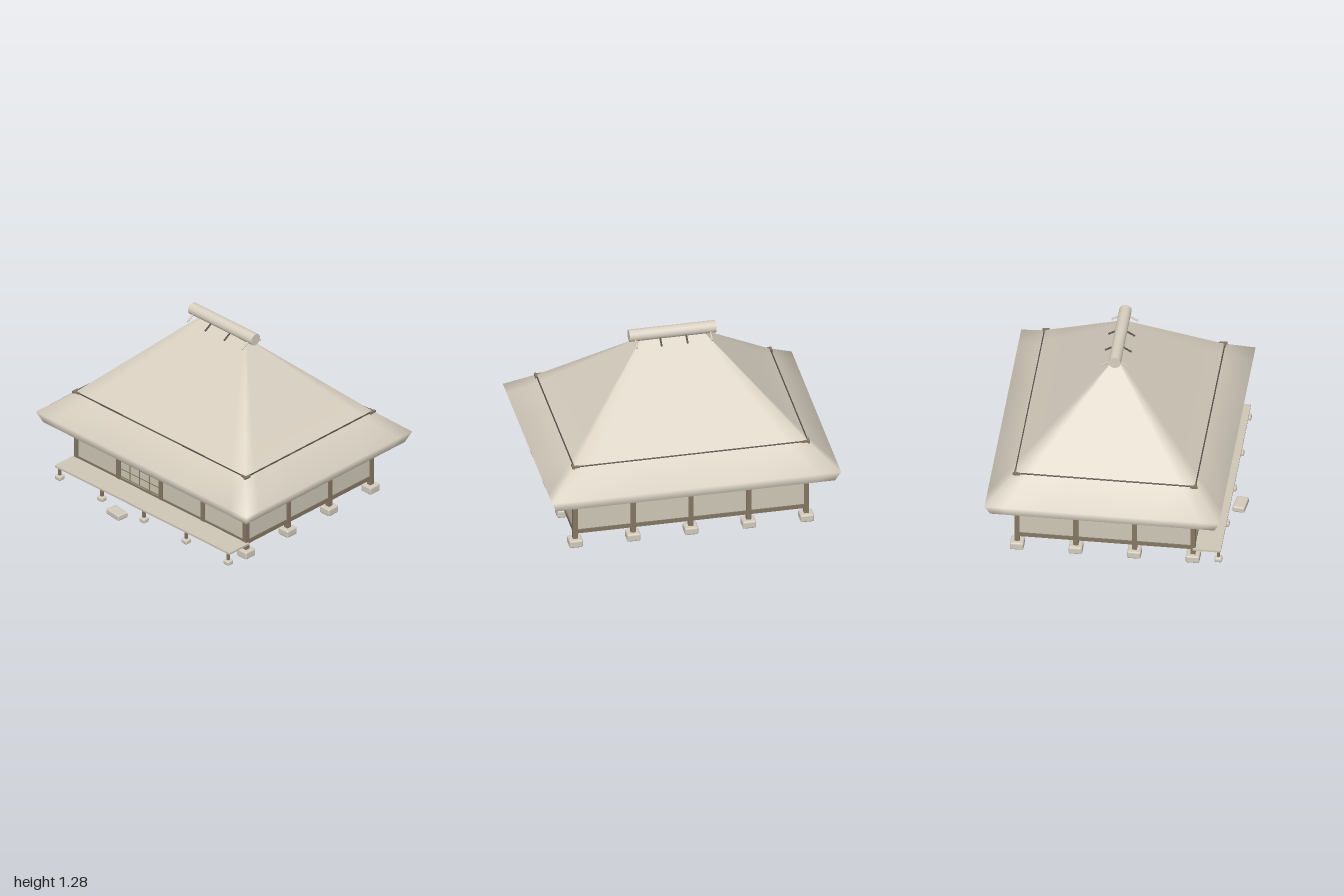
import * as THREE from 'three';
import { RoundedBoxGeometry } from 'three/addons/geometries/RoundedBoxGeometry.js';

const mat = (name, color, side = THREE.FrontSide) => {
  const m = new THREE.MeshStandardMaterial({ color, side });
  m.name = name;
  return m;
};

const ZC = -0.05; // the house body sits slightly behind the origin

// Skin of stacked rectangles [halfX, halfZ, y]; extra points near the corners keep the faces flat and the hips soft
function rectLoft(rings) {
  const steps = [-1, -0.84, -0.4, 0, 0.4, 0.84];
  const dirs = [[1, 0, 0, -1], [0, -1, -1, 0], [-1, 0, 0, 1], [0, 1, 1, 0]]; // outward normal, walking direction
  const pos = [], idx = [];
  for (const [hx, hz, y] of rings) {
    for (const [nx, nz, tx, tz] of dirs) {
      for (const s of steps) pos.push((nx + tx * s) * hx, y, ZC + (nz + tz * s) * hz);
    }
  }
  const n = steps.length * 4;
  for (let r = 0; r < rings.length - 1; r++) {
    for (let i = 0; i < n; i++) {
      const a = r * n + i, b = r * n + (i + 1) % n;
      idx.push(a, b, b + n, a, b + n, a + n);
    }
  }
  const g = new THREE.BufferGeometry();
  g.setAttribute('position', new THREE.Float32BufferAttribute(pos, 3));
  g.setIndex(idx);
  g.computeVertexNormals();
  return g;
}

export function createModel() {
  const house = new THREE.Group();
  house.name = 'thatchedHouse';
  const thatch = mat('thatch', 0xd8cfc0, THREE.DoubleSide);
  const plaster = mat('plaster', 0xcec7b7);
  const wood = mat('wood', 0x857763);
  const plank = mat('plank', 0xcfc6b6);
  const stone = mat('stone', 0xd2cabc);
  const dark = mat('darkWood', 0x57514a);

  const add = (name, geo, m, x = 0, y = 0, z = 0) => {
    const mesh = new THREE.Mesh(geo, m);
    mesh.name = name;
    mesh.position.set(x, y, z);
    house.add(mesh);
    return mesh;
  };
  const box = (name, m, w, h, d, x, y, z) => add(name, new THREE.BoxGeometry(w, h, d), m, x, y, z);
  const rock = (name, w, h, d, x, y, z) => add(name, new RoundedBoxGeometry(w, h, d, 2, 0.012), stone, x, y, z);
  const rod = (name, m, r, a, b) => {
    const p = new THREE.Vector3(...a), q = new THREE.Vector3(...b);
    const mesh = add(name, new THREE.CylinderGeometry(r, r, p.distanceTo(q), 8), m);
    mesh.position.copy(p).add(q).multiplyScalar(0.5);
    mesh.quaternion.setFromUnitVectors(new THREE.Vector3(0, 1, 0), q.sub(p).normalize());
    return mesh;
  };

  // Thatched roof: rolled eave lip, shallow skirt, then the steep main slope
  const rings = [[0.965, 0.765, 0.388], [1, 0.8, 0.47], [0.8, 0.61, 0.635]];
  for (let i = 1; i <= 4; i++) {
    const t = i / 4;
    rings.push([0.8 - 0.58 * t, 0.61 - 0.598 * t, 0.635 + 0.575 * t]);
  }
  add('roof', rectLoft(rings), thatch);
  add('soffit', rectLoft([[0.79, 0.59, 0.46], [0.965, 0.765, 0.388]]), thatch);

  // Ridge roll and its crossed ties
  const roll = add('ridgeRoll', new THREE.CylinderGeometry(0.042, 0.042, 0.6, 24), thatch, 0, 1.24, ZC);
  roll.rotation.z = Math.PI / 2;
  for (const x of [-0.26, -0.09, 0.09, 0.26]) {
    const inner = Math.abs(x) < 0.2;
    for (const s of [-1, 1]) {
      rod('ridgeTie', inner ? dark : thatch, 0.006, [x, 1.185, ZC + s * 0.09], [x, 1.24, ZC]);
    }
  }

  // Rail lying around the roof, with corner brackets
  for (const s of [-1, 1]) {
    const z = ZC + s * 0.615;
    rod('roofRail', dark, 0.005, [-0.81, 0.63, z], [0.81, 0.63, z]);
    rod('roofRail', dark, 0.005, [s * 0.81, 0.63, ZC - 0.615], [s * 0.81, 0.63, ZC + 0.615]);
    for (const t of [-1, 1]) {
      box('railCorner', wood, 0.05, 0.016, 0.016, t * 0.797, 0.628, z);
      box('railCorner', wood, 0.016, 0.016, 0.05, t * 0.814, 0.628, z - s * 0.01);
    }
  }

  // Floor and plaster walls with sill beams and tie beams
  box('floor', plank, 1.6, 0.015, 1.2, 0, 0.105, ZC);
  for (const s of [-1, 1]) {
    const z = ZC + s * 0.6;
    box('longWall', plaster, 1.6, 0.36, 0.014, 0, 0.28, z);
    box('endWall', plaster, 0.014, 0.36, 1.2, s * 0.8, 0.28, ZC);
    box('longSill', wood, 1.6, 0.03, 0.026, 0, 0.115, z);
    box('endSill', wood, 0.026, 0.03, 1.2, s * 0.8, 0.115, ZC);
    box('endRail', wood, 0.018, 0.006, 1.2, s * 0.8, 0.302, ZC);
  }
  box('backRail', wood, 1.6, 0.006, 0.018, 0, 0.302, -0.65);
  for (const x of [-0.6, 0.6]) box('frontRail', wood, 0.4, 0.006, 0.018, x, 0.302, 0.55);

  // Posts on foundation stones around the body
  const post = (x, z) => {
    box('post', wood, 0.034, 0.41, 0.034, x, 0.255, z);
    rock('postStone', 0.094, 0.056, 0.094, x, 0.033, z);
  };
  for (const x of [-0.8, -0.4, 0, 0.4, 0.8]) {
    post(x, 0.55);
    post(x, -0.65);
    // Veranda leg and its stone
    box('verandaLeg', wood, 0.018, 0.07, 0.018, x, 0.07, 0.722);
    rock('verandaStone', 0.052, 0.036, 0.052, x, 0.028, 0.722);
  }
  for (const x of [-0.8, 0.8]) for (const z of [0.15, -0.25]) post(x, z);

  // Veranda deck and stepping stone
  box('verandaDeck', plank, 1.66, 0.014, 0.19, 0, 0.108, 0.645);
  rock('stepStone', 0.136, 0.045, 0.085, -0.185, 0.033, 0.797).rotation.y = -0.12;

  // Lattice sliding doors in the second front bay
  for (const y of [0.14, 0.2, 0.26, 0.32, 0.372]) box('doorRail', wood, 0.37, 0.004, 0.006, -0.2, y, 0.559);
  for (const x of [-0.385, -0.295, -0.205, -0.11, -0.015]) box('doorStile', wood, 0.004, 0.26, 0.006, x, 0.266, 0.559);

  // Barred windows on the end and back walls
  const barredWindow = (x, z, turn) => {
    const g = new THREE.Group();
    g.name = 'barredWindow';
    for (let i = -2; i <= 2; i++) {
      const bar = new THREE.Mesh(new THREE.BoxGeometry(0.005, 0.09, 0.008), dark);
      bar.name = 'windowBar';
      bar.position.set(i * 0.03, 0.37, 0);
      g.add(bar);
    }
    const sill = new THREE.Mesh(new THREE.BoxGeometry(0.14, 0.004, 0.006), dark);
    sill.name = 'windowSill';
    sill.position.y = 0.327;
    g.add(sill);
    g.position.set(x, 0, z);
    g.rotation.y = turn;
    house.add(g);
  };
  barredWindow(0.81, ZC, Math.PI / 2);
  barredWindow(-0.6, -0.66, Math.PI);

  return house;
}
